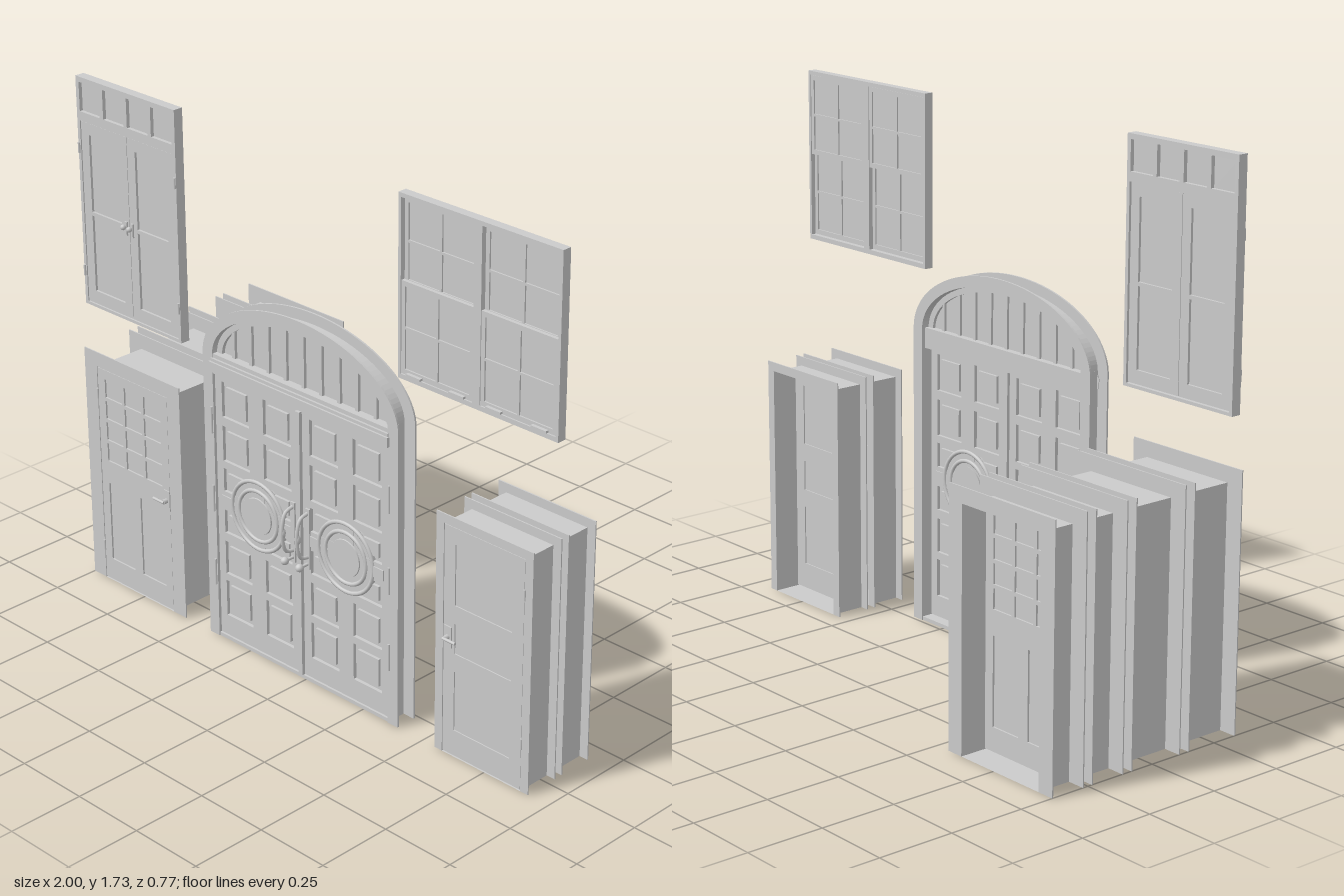
import * as THREE from 'three';

const mat = new THREE.MeshStandardMaterial({ color: 0xcccccc, side: THREE.DoubleSide });

function add(parent, name, geo, x = 0, y = 0, z = 0) {
  const m = new THREE.Mesh(geo, mat);
  m.name = name;
  m.position.set(x, y, z);
  parent.add(m);
  return m;
}

// box given by its minimum and maximum corners
function box(parent, name, x0, x1, y0, y1, z0, z1) {
  return add(parent, name, new THREE.BoxGeometry(x1 - x0, y1 - y0, z1 - z0),
    (x0 + x1) / 2, (y0 + y1) / 2, (z0 + z1) / 2);
}

function polygon(points, Type = THREE.Shape) {
  return new Type(points.map(p => new THREE.Vector2(p[0], p[1])));
}
const corners = ([x0, x1, y0, y1]) => [[x0, y0], [x1, y0], [x1, y1], [x0, y1]];

// flat board with rectangular openings, from z0 to z1
function board(parent, name, rect, holes, z0, z1) {
  const s = polygon(corners(rect));
  s.holes = holes.map(h => polygon(corners(h), THREE.Path));
  return add(parent, name, new THREE.ExtrudeGeometry(s, { depth: z1 - z0, bevelEnabled: false }), 0, 0, z0);
}

// board whose openings are closed by thinner sunk panels
function panelled(parent, name, rect, holes, z0, z1, sink = 0.006) {
  board(parent, name, rect, holes, z0, z1);
  holes.forEach(([a, b, c, d]) => box(parent, name + 'Panel', a, b, c, d, z0 + sink, z1 - sink));
}

// regular grid of rectangles with a gap between them
function grid(x0, x1, y0, y1, nx, ny, gap) {
  const out = [], w = (x1 - x0 + gap) / nx, h = (y1 - y0 + gap) / ny;
  for (let i = 0; i < nx; i++) for (let j = 0; j < ny; j++)
    out.push([x0 + i * w, x0 + (i + 1) * w - gap, y0 + j * h, y0 + (j + 1) * h - gap]);
  return out;
}

// open strip through a profile, running from z0 to z1
function lining(parent, pts, z0, z1) {
  const pos = [];
  for (let i = 0; i + 1 < pts.length; i++) {
    const [a, b] = pts[i], [c, d] = pts[i + 1];
    pos.push(a, b, z0, c, d, z0, c, d, z1, a, b, z0, c, d, z1, a, b, z1);
  }
  const g = new THREE.BufferGeometry();
  g.setAttribute('position', new THREE.Float32BufferAttribute(pos, 3));
  g.computeVertexNormals();
  add(parent, 'jambLining', g);
}

function lever(parent, x, y, z, dir) {
  box(parent, 'lockPlate', x - 0.014, x + 0.014, y - 0.035, y + 0.035, z, z + 0.004);
  const hub = add(parent, 'handleHub', new THREE.CylinderGeometry(0.008, 0.008, 0.02, 12), x, y, z + 0.01);
  hub.rotation.x = Math.PI / 2;
  const grip = add(parent, 'handleLever', new THREE.CylinderGeometry(0.005, 0.005, 0.05, 10), x + dir * 0.02, y, z + 0.02);
  grip.rotation.z = Math.PI / 2;
}

function hinges(parent, x, ys, z, h = 0.035) {
  ys.forEach(y => add(parent, 'hinge', new THREE.CylinderGeometry(0.004, 0.004, h, 8), x, y, z));
}

// framed single door: casings at both wall faces, lining between, slab at the front
function framedDoor(name, x0, x1, top, edge, z0, z1, makeSlab) {
  const g = new THREE.Group();
  g.name = name;
  const a = x0 + edge, b = x1 - edge, h = top - 0.05 + (edge < 0.05 ? 0.02 : 0);
  for (const z of [z0, z1 - 0.004]) {
    const s = polygon([[x0, 0], [a, 0], [a, h], [b, h], [b, 0], [x1, 0], [x1, top], [x0, top]]);
    add(g, 'casing', new THREE.ExtrudeGeometry(s, { depth: 0.004, bevelEnabled: false }), 0, 0, z);
  }
  lining(g, [[a, 0], [a, h], [b, h], [b, 0], [a, 0]], z0, z1);
  makeSlab(g, a, b, h, z1);
  return g;
}

// glazed door: grid of lights above two tall panels
function glazedSlab(g, a, b, h, z) {
  const l = a + 0.035, r = b - 0.035;
  panelled(g, 'doorSlab', [a + 0.002, b - 0.002, 0.004, h - 0.002],
    [...grid(l, r, 0.44, 0.73, 3, 4, 0.012), ...grid(l, r, 0.08, 0.36, 2, 1, 0.04)], z - 0.032, z - 0.001);
  lever(g, b - 0.013, 0.4, z, -1);
  hinges(g, a, [0.12, 0.67], z);
}

// plain door with three stacked panels
function plainSlab(g, a, b, h, z) {
  const l = a + 0.045, r = b - 0.045;
  panelled(g, 'doorSlab', [a + 0.002, b - 0.002, 0.004, h - 0.002],
    [[l, r, 0.51, 0.71], [l, r, 0.35, 0.45], [l, r, 0.09, 0.29]], z - 0.032, z - 0.001, 0.004);
  lever(g, a + 0.022, 0.4, z, 1);
  hinges(g, b, [0.16, 0.65], z);
}

// arched entrance, built about its own centre line
function archedEntrance() {
  const g = new THREE.Group();
  g.name = 'archedEntrance';
  g.position.x = -0.018;
  const arch = (a, b, y, n = 48) => Array.from({ length: n + 1 }, (_, i) => {
    const t = Math.PI * i / n;
    return [a * Math.cos(t), y + b * Math.sin(t)];
  });
  const inner = [[0.373, 0], ...arch(0.373, 0.195, 0.98), [-0.373, 0]];
  const outer = [[0.415, 0], ...arch(0.415, 0.23, 0.98), [-0.415, 0]];
  const ring = polygon([...outer, ...inner.slice().reverse()]);
  for (const z of [0.262, 0.332])
    add(g, 'archCasing', new THREE.ExtrudeGeometry(ring, { depth: 0.006, bevelEnabled: false }), 0, 0, z);
  lining(g, inner, 0.265, 0.335);

  // transom behind the arch, with upright bars
  const fan = polygon(arch(0.372, 0.194, 0.98));
  add(g, 'transomPanel', new THREE.ExtrudeGeometry(fan, { depth: 0.008, bevelEnabled: false }), 0, 0, 0.298);
  const rim = polygon([...arch(0.372, 0.194, 0.98), ...arch(0.35, 0.175, 0.98).reverse()]);
  add(g, 'transomRim', new THREE.ExtrudeGeometry(rim, { depth: 0.03, bevelEnabled: false }), 0, 0, 0.288);
  for (let i = -4; i <= 4; i++) {
    const x = i * 0.075, top = 0.98 + 0.185 * Math.sqrt(1 - (x / 0.372) ** 2);
    box(g, 'transomBar', x - 0.006, x + 0.006, 0.97, top, 0.29, 0.316);
  }
  box(g, 'header', -0.373, 0.373, 0.918, 0.985, 0.275, 0.335);
  box(g, 'headerMoulding', -0.38, 0.38, 0.93, 0.962, 0.33, 0.348);
  box(g, 'headerCap', -0.376, 0.376, 0.962, 0.972, 0.33, 0.342);
  box(g, 'threshold', -0.373, 0.373, 0, 0.012, 0.265, 0.335);
  box(g, 'meetingStrip', -0.009, 0.009, 0.014, 0.916, 0.29, 0.342);

  // two leaves with raised panels and a round centre
  const rows = [[0.78, 0.9], [0.63, 0.75], [0.525, 0.605], [0.38, 0.46], [0.235, 0.35], [0.085, 0.21]];
  for (const s of [-1, 1]) {
    const span = (p, q) => s > 0 ? [p, q] : [-q, -p];
    const holes = rows.flatMap(([c, d]) => [[0.04, 0.16], [0.222, 0.342]].map(([p, q]) => [...span(p, q), c, d]));
    panelled(g, 'leaf', [...span(0.003, 0.371), 0.014, 0.916], holes, 0.3, 0.33, 0.011);
    holes.forEach(([a, b, c, d]) =>
      box(g, 'raisedPanel', a + 0.016, b - 0.016, c + 0.016, d - 0.016, 0.302, 0.328));
    const cx = s * 0.19, cy = 0.492;
    const disc = add(g, 'roundel', new THREE.CylinderGeometry(0.12, 0.12, 0.028, 40), cx, cy, 0.315);
    disc.rotation.x = Math.PI / 2;
    const boss = add(g, 'roundelBoss', new THREE.CylinderGeometry(0.06, 0.068, 0.038, 40), cx, cy, 0.315);
    boss.rotation.x = Math.PI / 2;
    for (const r of [0.085, 0.115]) for (const z of [0.301, 0.329])
      add(g, 'roundelRing', new THREE.TorusGeometry(r, 0.007, 8, 40), cx, cy, z);
    for (const [p, q] of [[0.03, 0.075], [0.305, 0.35]])
      box(g, 'crossRail', ...span(p, q), 0.475, 0.51, 0.297, 0.334);

    // pull handle, knob and hinges
    const hx = s * 0.032;
    box(g, 'pullPlate', hx - 0.009, hx + 0.009, 0.395, 0.6, 0.33, 0.336);
    const pull = new THREE.CatmullRomCurve3([[0.435, 0.333], [0.445, 0.365], [0.51, 0.38], [0.575, 0.365], [0.585, 0.333]]
      .map(([y, z]) => new THREE.Vector3(hx, y, z)));
    add(g, 'pullHandle', new THREE.TubeGeometry(pull, 20, 0.006, 8), 0, 0, 0);
    add(g, 'pullGrip', new THREE.SphereGeometry(0.009, 12, 8), hx, 0.51, 0.376).scale.y = 2;
    const stem = add(g, 'knobStem', new THREE.CylinderGeometry(0.005, 0.005, 0.04, 10), hx, 0.412, 0.35);
    stem.rotation.x = Math.PI / 2;
    add(g, 'knob', new THREE.SphereGeometry(0.013, 14, 10), hx, 0.412, 0.37);
    hinges(g, s * 0.38, [0.23, 0.49, 0.76], 0.34, 0.09);
  }
  return g;
}

// double doors with a row of small lights above
function gardenDoors() {
  const g = new THREE.Group();
  g.name = 'gardenDoors';
  const x0 = -0.98, x1 = -0.53, mid = -0.755;
  const openings = [[x0 + 0.012, x1 - 0.012, 0.985, 1.59], ...grid(-0.966, -0.544, 1.62, 1.715, 4, 1, 0.016)];
  board(g, 'frame', [x0, x1, 0.975, 1.732], openings, 0.305, 0.338);
  openings.slice(1).forEach(([a, b, c, d]) => box(g, 'upperLight', a, b, c, d, 0.318, 0.326));
  for (const [a, b] of [[x0 + 0.013, mid - 0.001], [mid + 0.001, x1 - 0.013]])
    panelled(g, 'leaf', [a, b, 0.987, 1.588], grid(a + 0.035, b - 0.035, 1.03, 1.55, 1, 2, 0.012), 0.312, 0.335, 0.008);
  for (const s of [-1, 1]) {
    box(g, 'handlePlate', mid + s * 0.014 - 0.005, mid + s * 0.014 + 0.005, 1.265, 1.31, 0.335, 0.341);
    add(g, 'handleKnob', new THREE.SphereGeometry(0.009, 10, 8), mid + s * 0.014, 1.295, 0.35);
    hinges(g, mid + s * 0.22, [1.09, 1.5], 0.34);
  }
  return g;
}

// pair of sash windows, lower sashes set behind the upper ones
function sashWindow() {
  const g = new THREE.Group();
  g.name = 'sashWindow';
  const x0 = 0.395, x1 = 0.998, mid = 0.695;
  board(g, 'frame', [x0, x1, 1.163, 1.727],
    [[x0 + 0.01, mid - 0.014, 1.178, 1.714], [mid + 0.014, x1 - 0.01, 1.178, 1.714]], 0.308, 0.338);
  for (const [a, b] of [[x0 + 0.01, mid - 0.014], [mid + 0.014, x1 - 0.01]]) {
    const sash = (name, c, d, z0, z1) =>
      panelled(g, name, [a, b, c, d], grid(a + 0.014, b - 0.014, c + 0.016, d - 0.016, 2, 2, 0.008), z0, z1, 0.005);
    sash('upperSash', 1.45, 1.713, 0.311, 0.322);
    sash('lowerSash', 1.179, 1.465, 0.323, 0.335);
    for (const t of [0.2, 0.8]) {
      const x = a + (b - a) * t;
      box(g, 'sashLift', x - 0.028, x + 0.028, 1.181, 1.188, 0.335, 0.346);
    }
  }
  return g;
}

export function createModel() {
  const model = new THREE.Group();
  model.name = 'doorAndWindowSet';
  for (const [z0, z1] of [[0.145, 0.338], [-0.082, 0.112], [-0.235, -0.113], [-0.385, -0.265]])
    model.add(framedDoor('glazedDoor', -1, -0.55, 0.815, 0.058, z0, z1, glazedSlab));
  for (const [z0, z1] of [[0.217, 0.338], [0.07, 0.19]])
    model.add(framedDoor('plainDoor', 0.55, 0.922, 0.795, 0.03, z0, z1, plainSlab));
  model.add(archedEntrance(), gardenDoors(), sashWindow());
  return model;
}
